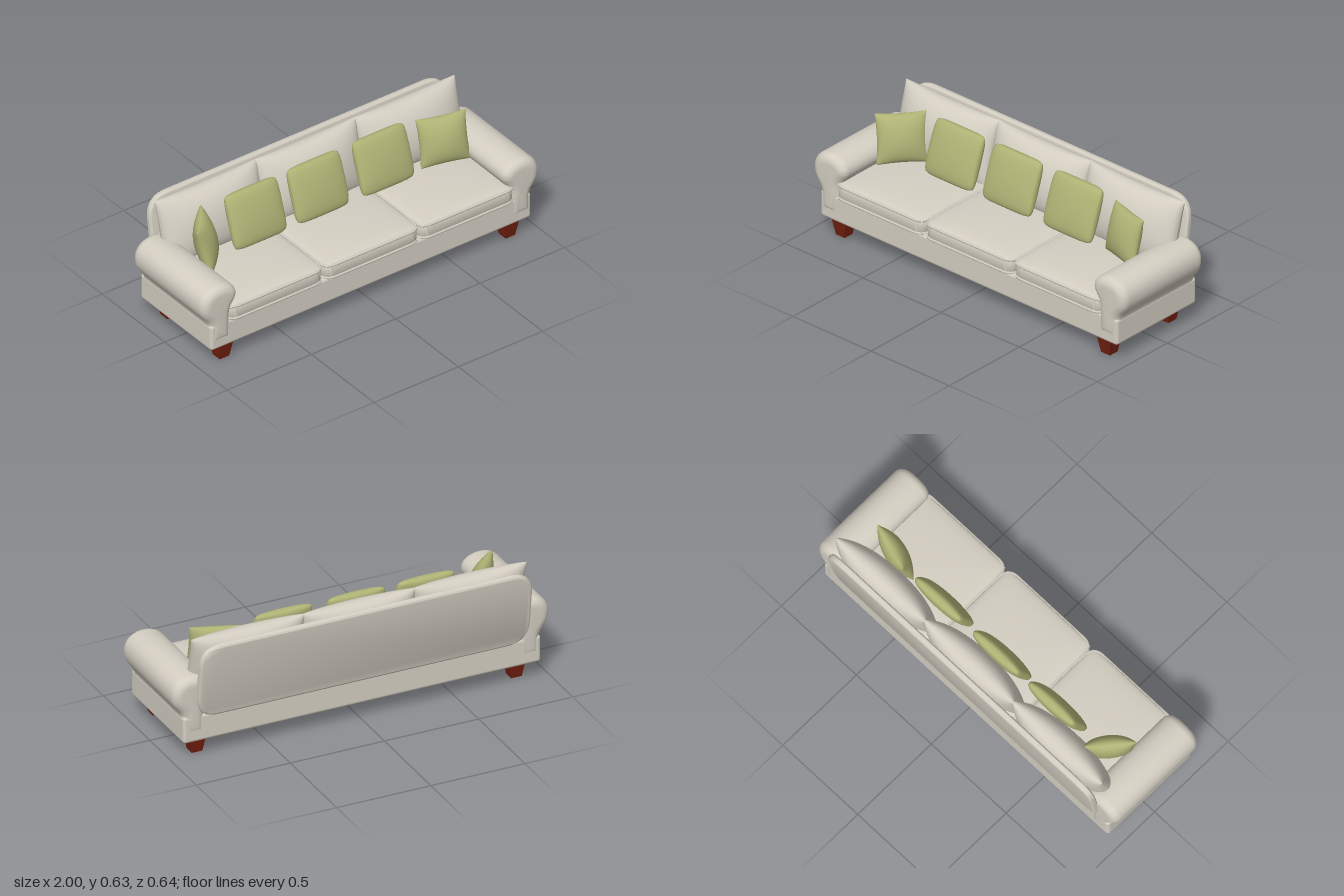
import * as THREE from 'three';
import { mergeGeometries, mergeVertices, toCreasedNormals } from 'three/addons/utils/BufferGeometryUtils.js';
import { RoundedBoxGeometry } from 'three/addons/geometries/RoundedBoxGeometry.js';

const material = (name, color) => Object.assign(new THREE.MeshStandardMaterial({ color }), { name });

// Stuffed pillow: two bulging faces meeting at a seam.
// pinch pulls in the sides, round cuts the corners, power sets how full the edges are.
function pillowGeometry(w, h, t, { pinch = 0, round = 0, power = 0.5, segments = 26 } = {}) {
  const face = (side) => {
    const g = new THREE.PlaneGeometry(2, 2, segments, segments);
    const p = g.attributes.position;
    for (let i = 0; i < p.count; i++) {
      const u = Math.sin(p.getX(i) * Math.PI / 2), v = Math.sin(p.getY(i) * Math.PI / 2);
      const x = u * (1 - pinch * (1 - v * v)) * (1 - round * v ** 8);
      const y = v * (1 - pinch * (1 - u * u)) * (1 - round * u ** 8);
      const z = Math.pow(Math.max(0, (1 - u * u) * (1 - v * v)), power);
      p.setXYZ(i, side * x * w / 2, y * h / 2, side * z * t / 2);
    }
    g.computeVertexNormals();
    return g;
  };
  return mergeGeometries([face(1), face(-1)]);
}

function roundedRect(w, h, r) {
  const s = new THREE.Shape(), x = w / 2, y = h / 2;
  s.moveTo(-x + r, -y);
  s.lineTo(x - r, -y).quadraticCurveTo(x, -y, x, -y + r);
  s.lineTo(x, y - r).quadraticCurveTo(x, y, x - r, y);
  s.lineTo(-x + r, y).quadraticCurveTo(-x, y, -x, y - r);
  s.lineTo(-x, -y + r).quadraticCurveTo(-x, -y, -x + r, -y);
  return s;
}

// Extrusion centred on z with softly rounded rims
function softExtrude(shape, depth, bevel, curveSegments = 10) {
  const g = new THREE.ExtrudeGeometry(shape, {
    depth: depth - 2 * bevel, bevelEnabled: true, bevelThickness: bevel, bevelSize: bevel,
    bevelOffset: -bevel, bevelSegments: 6, curveSegments,
  });
  g.translate(0, 0, bevel - depth / 2);
  g.deleteAttribute('uv');
  g.deleteAttribute('normal');
  return toCreasedNormals(mergeVertices(g, 1e-5), 0.7);
}

export function createModel() {
  const fabric = material('cream fabric', 0xd4cec2);
  const green = material('green fabric', 0xaeb274);
  const wood = material('red wood', 0x74200f);
  const sofa = new THREE.Group();
  sofa.name = 'sofa';

  const add = (name, geometry, mat, pos = [0, 0, 0], rot = [0, 0, 0], parent = sofa) => {
    const m = new THREE.Mesh(geometry, mat);
    m.name = name;
    m.position.set(...pos);
    m.rotation.set(...rot, 'YXZ');
    parent.add(m);
    return m;
  };

  // Base frame
  add('base', new RoundedBoxGeometry(1.9, 0.145, 0.57, 4, 0.018), fabric, [0, 0.1615, 0.02]);

  // Rolled arms: one profile, mirrored
  const armShape = (s) => {
    const a = new THREE.Shape();
    a.moveTo(s * 0.83, 0.13);
    a.lineTo(s * 0.948, 0.13);
    a.lineTo(s * 0.948, 0.215);
    a.bezierCurveTo(s * 0.948, 0.265, s * 1.0, 0.275, s * 1.0, 0.345);
    a.bezierCurveTo(s * 1.0, 0.405, s * 0.955, 0.441, s * 0.895, 0.441);
    a.bezierCurveTo(s * 0.835, 0.441, s * 0.79, 0.41, s * 0.79, 0.37);
    a.bezierCurveTo(s * 0.79, 0.33, s * 0.83, 0.32, s * 0.83, 0.26);
    a.lineTo(s * 0.83, 0.13);
    return a;
  };
  for (const [s, side] of [[1, 'left'], [-1, 'right']]) {
    add(side + 'Arm', softExtrude(armShape(s), 0.582, 0.045), fabric, [0, 0, 0.022]);
  }

  // Backrest panel, leaning back
  add('backPanel', softExtrude(roundedRect(1.765, 0.405, 0.12), 0.034, 0.014), fabric,
    [0, 0.416, -0.281], [-0.135, 0, 0]);

  // Seat cushions: side wall, crowned top and piping round both edges
  const seatW = 0.562, seatD = 0.545;
  const outline = roundedRect(seatW, seatD, 0.06);
  const wall = softExtrude(outline, 0.085, 0.012);
  const crown = pillowGeometry(seatW, seatD, 0.066, { round: 0.03, power: 0.3 });
  const points = outline.getSpacedPoints(90).slice(0, -1).map((p) => new THREE.Vector3(p.x, p.y, 0));
  const piping = new THREE.TubeGeometry(new THREE.CatmullRomCurve3(points, true), 120, 0.007, 6, true);
  const flat = [-Math.PI / 2, 0, 0];
  [-0.566, 0.003, 0.57].forEach((x, i) => {
    const seat = new THREE.Group();
    seat.name = 'seatCushion' + (i + 1);
    seat.position.set(x, 0, 0.043);
    sofa.add(seat);
    add('cushionSide', wall, fabric, [0, 0.266, 0], flat, seat);
    add('cushionTop', crown, fabric, [0, 0.3, 0], flat, seat);
    for (const y of [0.303, 0.234]) add('piping', piping, fabric, [0, y, 0], flat, seat);
  });

  // Back cushions
  const backCushion = pillowGeometry(0.605, 0.355, 0.185, { pinch: 0.035, power: 0.45 });
  [-0.582, 0.006, 0.595].forEach((x, i) =>
    add('backCushion' + (i + 1), backCushion, fabric, [x, 0.462, -0.195], [-0.25, 0, 0]));

  // Square throw pillows with rounded corners
  const square = pillowGeometry(0.31, 0.282, 0.085, { round: 0.06, power: 0.32 });
  [-0.415, -0.045, 0.342].forEach((x, i) =>
    add('throwPillow' + (i + 1), square, green, [x, 0.47, -0.064], [-0.34, 0, 0]));

  // Corner throw pillows, pointed and turned inwards
  const pointed = pillowGeometry(0.255, 0.255, 0.11, { pinch: 0.06, power: 0.5 });
  add('cornerPillowRight', pointed, green, [-0.73, 0.455, -0.035], [-0.27, 0.87, 0]);
  add('cornerPillowLeft', pointed, green, [0.685, 0.457, -0.045], [-0.24, -0.3, 0.03]);

  // Tapered square legs
  const leg = new THREE.CylinderGeometry(0.043 * Math.SQRT2, 0.028 * Math.SQRT2, 0.092, 4, 1)
    .rotateY(Math.PI / 4).toNonIndexed();
  leg.computeVertexNormals();
  for (const x of [-0.848, 0.848]) {
    for (const z of [0.245, -0.174]) add(z > 0 ? 'frontLeg' : 'backLeg', leg, wood, [x, 0.046, z]);
  }

  return sofa;
}
